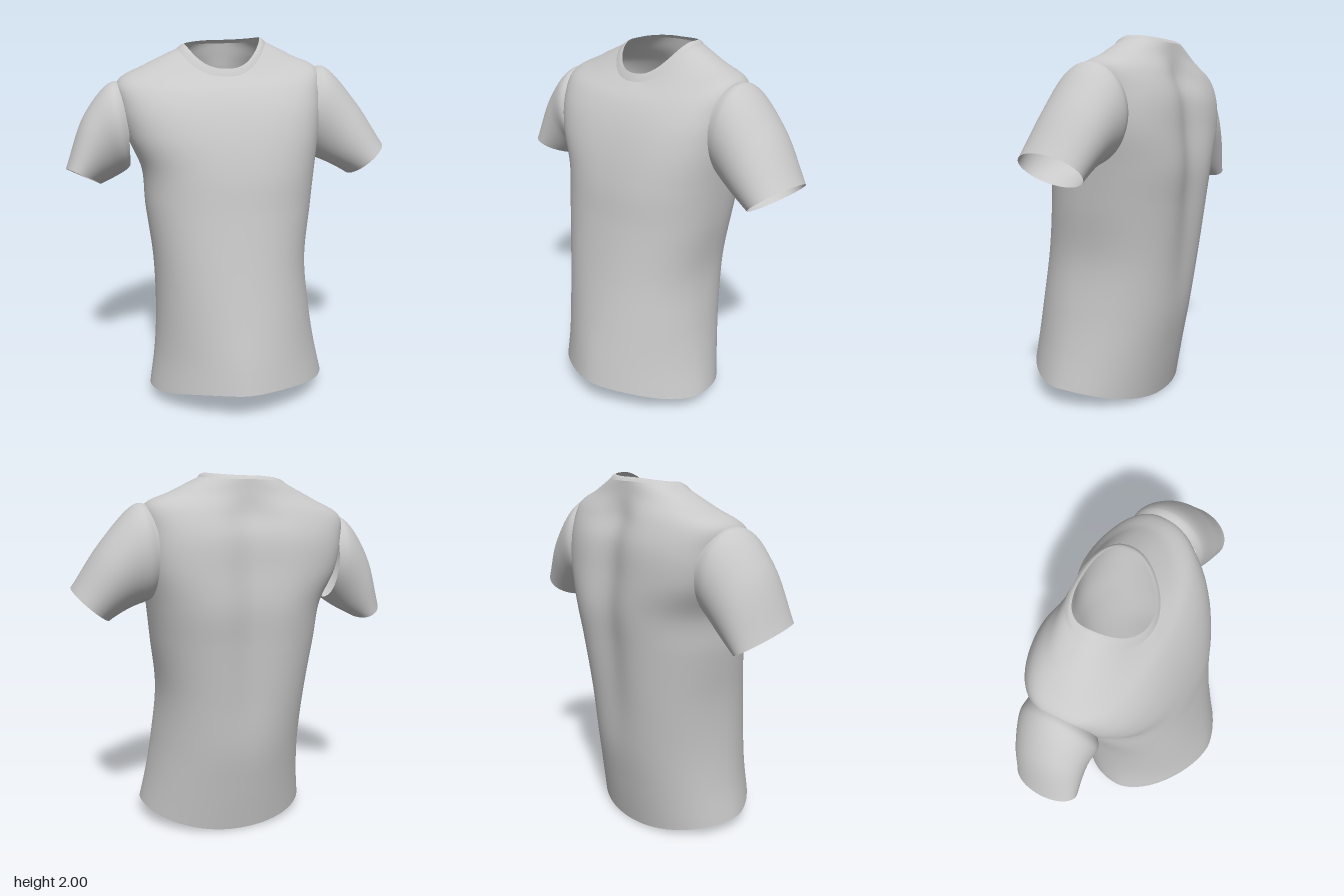
import * as THREE from 'three';

const fabric = new THREE.MeshStandardMaterial({ color: 0xc8c8c8, side: THREE.DoubleSide });
fabric.name = 'grey fabric';

const SEGMENTS = 96;
const YAW = 0.49; // the wearer is turned towards their right

// Torso rings from hem to yoke, in the turned frame (u = sideways, n = forwards):
// centre u, half width, centre n, front n, back n, front and back roundness,
// then heights at left, front, right, back
const TORSO = [
  [0.015, 0.500, 0.177, 0.605, -0.21, 1.65, 2.2, 0.10, 0.17, 0.07, 0.00],
  [0.010, 0.465, 0.150, 0.580, -0.26, 1.75, 2.2, 0.29, 0.32, 0.27, 0.25],
  [0.000, 0.440, 0.120, 0.540, -0.31, 1.95, 2.2, 0.51, 0.52, 0.50, 0.50],
  [-0.015, 0.430, 0.075, 0.488, -0.345, 2.2, 2.4, 0.80, 0.80, 0.80, 0.80],
  [-0.015, 0.465, 0.031, 0.440, -0.38, 2.3, 2.4, 1.10, 1.10, 1.10, 1.10],
  [-0.010, 0.485, -0.01, 0.410, -0.40, 2.5, 2.5, 1.32, 1.31, 1.30, 1.31],
  [-0.035, 0.535, -0.05, 0.360, -0.385, 2.8, 2.8, 1.53, 1.50, 1.48, 1.50],
  [-0.050, 0.555, -0.05, 0.300, -0.365, 2.8, 2.8, 1.70, 1.64, 1.64, 1.67],
  [-0.058, 0.555, -0.06, 0.240, -0.32, 2.4, 2.5, 1.835, 1.73, 1.765, 1.79],
  [-0.045, 0.405, -0.08, 0.190, -0.27, 2.2, 2.2, 1.905, 1.775, 1.86, 1.89],
  [-0.035, 0.245, -0.08, 0.160, -0.24, 2.0, 2.4, 1.978, 1.80, 1.94, 1.965],
];
// Neckband rings
const COLLAR = [
  TORSO[10],
  [-0.032, 0.225, -0.08, 0.150, -0.225, 2.0, 2.5, 1.995, 1.82, 1.958, 1.98],
  [-0.030, 0.208, -0.08, 0.138, -0.212, 2.0, 2.5, 2.0, 1.84, 1.965, 1.985],
];

// Point on a torso ring: two half superellipses sharing their side points
function torsoPoint([uC, a, nC, nF, nB, pF, pB, yL, yF, yR, yB], angle) {
  const c = Math.cos(angle), s = Math.sin(angle), front = s >= 0;
  const p = front ? pF : pB;
  const r = (Math.abs(c) ** p + Math.abs(s) ** p) ** (-1 / p);
  const u = uC + a * r * c;
  const side = Math.abs(c) ** (front ? 2.6 : 2);
  const y = THREE.MathUtils.lerp(front ? yF : yB, c > 0 ? yL : yR, side);
  let n = nC + (front ? nF - nC : nC - nB) * r * s;
  // soft hollow along the spine
  if (!front) {
    const rise = THREE.MathUtils.smoothstep(y, 0.2, 1.4) * (1 - THREE.MathUtils.smoothstep(y, 1.8, 1.95));
    n += 0.05 * rise * Math.exp(-(((u + 0.01) / 0.14) ** 2)) * s * s;
  }
  return new THREE.Vector3(
    u * Math.cos(YAW) - n * Math.sin(YAW), y, u * Math.sin(YAW) + n * Math.cos(YAW));
}

// Point on a sleeve ring given by its centre, top axis and front axis
function sleevePoint([centre, top, front], angle) {
  return new THREE.Vector3(...centre)
    .addScaledVector(new THREE.Vector3(...top), Math.cos(angle))
    .addScaledVector(new THREE.Vector3(...front), Math.sin(angle));
}

// Smooth tube of cloth through a list of rings
function loft(name, rings, ringPoint, steps) {
  const positions = [], index = [];
  for (let i = 0; i < SEGMENTS; i++) {
    const angle = (i / SEGMENTS) * Math.PI * 2;
    const curve = new THREE.CatmullRomCurve3(
      rings.map((ring) => ringPoint(ring, angle)), false, 'centripetal');
    for (let j = 0; j <= steps; j++) positions.push(...curve.getPoint(j / steps).toArray());
  }
  const row = steps + 1;
  for (let i = 0; i < SEGMENTS; i++) {
    const next = (i + 1) % SEGMENTS;
    for (let j = 0; j < steps; j++) {
      const a = i * row + j, b = next * row + j;
      index.push(a, a + 1, b, b, a + 1, b + 1);
    }
  }
  const geometry = new THREE.BufferGeometry();
  geometry.setAttribute('position', new THREE.Float32BufferAttribute(positions, 3));
  geometry.setIndex(index);
  geometry.computeVertexNormals();
  const mesh = new THREE.Mesh(geometry, fabric);
  mesh.name = name;
  return mesh;
}

// Rings: tucked under the armhole, armhole, upper arm, cuff (centre, top axis, front axis)
const LEFT_SLEEVE = [
  [[0.43, 1.60, 0.18], [0.005, 0.235, 0.005], [-0.09, 0, 0.175]],
  [[0.475, 1.59, 0.20], [0.025, 0.252, 0.01], [-0.098, 0, 0.187]],
  [[0.59, 1.475, 0.28], [0.088, 0.175, -0.005], [-0.085, 0.02, 0.185]],
  [[0.698, 1.322, 0.37], [0.12, 0.075, -0.02], [-0.06, 0.044, 0.165]],
];
const RIGHT_SLEEVE = [
  [[-0.465, 1.53, -0.31], [0, 0.225, -0.005], [-0.09, 0, 0.17]],
  [[-0.515, 1.525, -0.325], [-0.035, 0.24, -0.01], [-0.09, 0, 0.188]],
  [[-0.612, 1.42, -0.37], [-0.088, 0.183, 0.01], [-0.055, 0.01, 0.18]],
  [[-0.708, 1.25, -0.405], [-0.115, 0.062, 0.04], [-0.04, 0.02, 0.155]],
];

export function createModel() {
  const shirt = new THREE.Group();
  shirt.name = 'tShirt';
  shirt.add(
    loft('torso', TORSO, torsoPoint, 80),
    loft('collar', COLLAR, torsoPoint, 6),
    loft('leftSleeve', LEFT_SLEEVE, sleevePoint, 30),
    loft('rightSleeve', RIGHT_SLEEVE, sleevePoint, 30),
  );
  return shirt;
}
